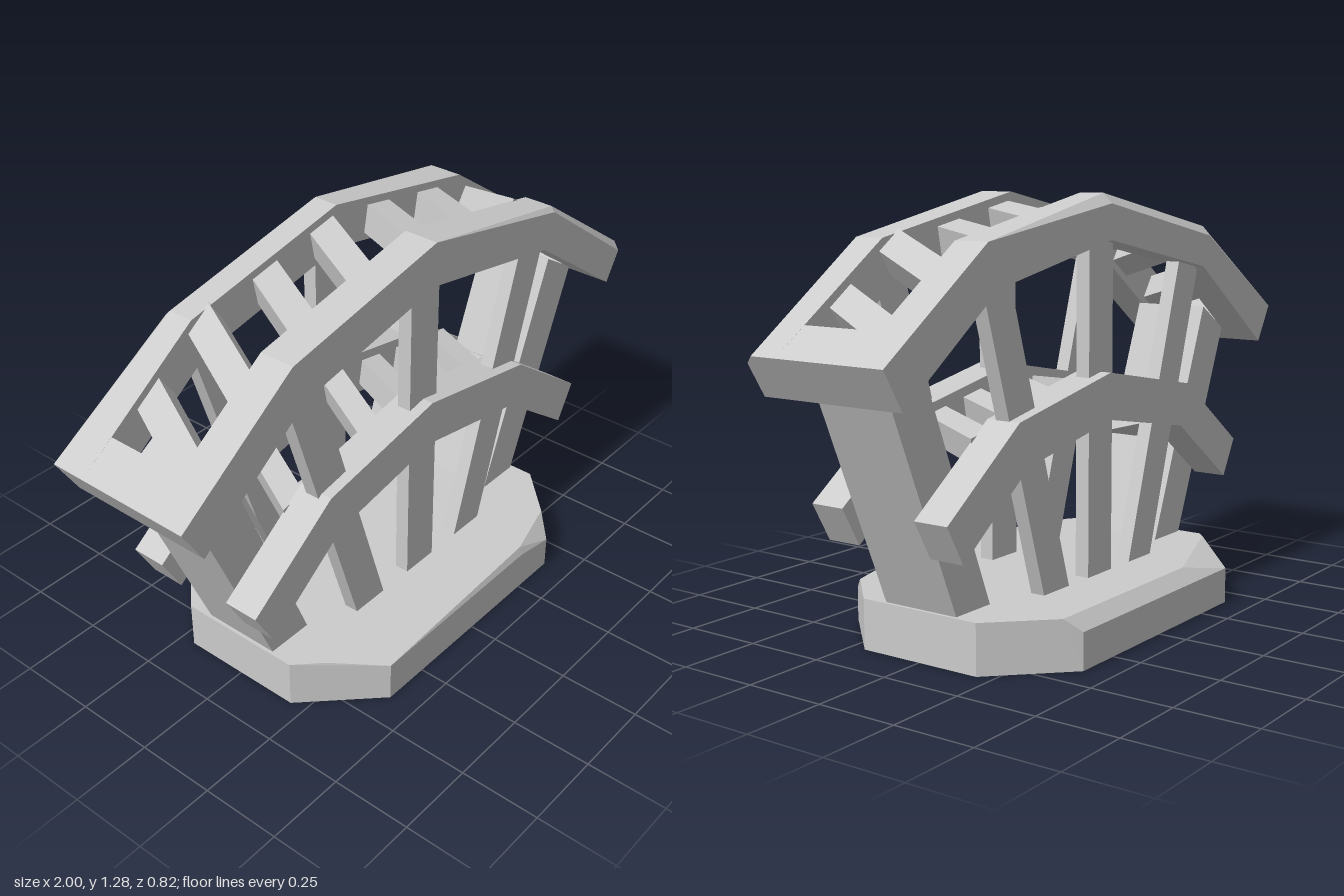
import * as THREE from 'three';
import { ConvexGeometry } from 'three/addons/geometries/ConvexGeometry.js';

const material = new THREE.MeshStandardMaterial({ color: 0xcccccc, flatShading: true });

function add(parent, name, geometry) {
  const mesh = new THREE.Mesh(geometry, material);
  mesh.name = name;
  parent.add(mesh);
  return mesh;
}

// Flat board: an outline in x/y, extruded from z0 to z1
function board(outline, z0, z1) {
  const shape = new THREE.Shape(outline.map(([x, y]) => new THREE.Vector2(x, y)));
  return new THREE.ExtrudeGeometry(shape, { depth: z1 - z0, bevelEnabled: false }).translate(0, 0, z0);
}

const hull = (points) => new ConvexGeometry(points.map((p) => new THREE.Vector3(...p)));
const flip = (outline, side) => outline.map(([x, y]) => [x * side, y]);

// Full arch from its +x half, listed from the crown outwards
const mirrorArch = (half) => [...half.slice(1).reverse().map(([x, y]) => [-x, y]), ...half];

// Angular rail; bevels trim the outer top edge at each bend
function rail(parent, name, outer, inner, side, bevels) {
  const group = new THREE.Group();
  group.name = name;
  const section = (i) => {
    const [x, y] = outer[i], [u, v] = inner[i], b = bevels[i];
    const points = [[x, y, side * 0.125], [u, v, side * 0.125], [u, v, side * 0.235], [x, y, side * (0.235 - b)]];
    if (b > 0) {
      const t = b / Math.hypot(x - u, y - v);
      points.push([x + (u - x) * t, y + (v - y) * t, side * 0.235]);
    }
    return points;
  };
  for (let i = 0; i < outer.length - 1; i++) {
    add(group, 'railSegment', hull([...section(i), ...section(i + 1)]));
  }
  parent.add(group);
}

// Skewed cross slats spread evenly along the arch
function slats(parent, name, outer, inner, pitch, width, height) {
  const group = new THREE.Group();
  group.name = name;
  const mid = outer.map(([x, y], i) => new THREE.Vector2((x + inner[i][0]) / 2, (y + inner[i][1]) / 2));
  const bend = mid[2].distanceTo(mid[3]);
  for (const side of [-1, 1]) {
    for (let k = 0; k < 4; k++) {
      const s = pitch * (k + 0.5);
      const [a, b, d] = s < bend ? [mid[2], mid[3], s] : [mid[3], mid[4], s - bend];
      const dir = b.clone().sub(a).normalize();
      const geometry = new THREE.BoxGeometry(width, height, 0.26);
      const pos = geometry.attributes.position;
      for (let i = 0; i < pos.count; i++) pos.setX(i, pos.getX(i) - pos.getZ(i) * 0.5);
      geometry.computeVertexNormals();
      const slat = add(group, 'slat', geometry);
      slat.position.set(side * (a.x + dir.x * d), a.y + dir.y * d, 0);
      slat.rotation.z = side * Math.atan2(dir.y, dir.x);
    }
  }
  parent.add(group);
}

export function createModel() {
  const model = new THREE.Group();
  model.name = 'archedRack';

  // Eight-sided base with roughly chipped top edges
  const rim = [[0.4, 0.41], [0.605, 0.2], [0.605, -0.2], [0.4, -0.41], [-0.4, -0.41], [-0.605, -0.2], [-0.605, 0.2], [-0.4, 0.41]];
  add(model, 'base', hull([
    ...rim.map(([x, z]) => [x, 0, z]),
    [0.605, 0.15, 0.2], [0.605, 0.15, -0.2], [-0.605, 0.15, -0.2], [-0.605, 0.15, 0.2],
    [-0.53, 0.15, 0.275], [-0.4, 0.125, 0.41], [0.26, 0.15, 0.4], [0.26, 0.125, 0.41], [0.46, 0.15, 0.345], [0.4, 0.1, 0.41],
    [0.44, 0.15, -0.37], [0.4, 0.11, -0.41], [-0.4, 0.11, -0.41], [-0.2, 0.15, -0.37], [-0.58, 0.15, -0.225],
  ]));

  // Upper and lower arches, front and back
  const upperOuter = mirrorArch([[0, 1.28], [0.585, 1.165], [1, 0.88]]);
  const upperInner = mirrorArch([[0, 1.145], [0.54, 1.04], [0.93, 0.765]]);
  const lowerOuter = mirrorArch([[0, 0.76], [0.45, 0.675], [0.765, 0.45]]);
  const lowerInner = mirrorArch([[0, 0.62], [0.41, 0.545], [0.7, 0.335]]);
  const plain = [0, 0, 0, 0, 0];
  rail(model, 'upperFrontRail', upperOuter, upperInner, 1, [0, 0, 0, 0.015, 0.025]);
  rail(model, 'upperBackRail', upperOuter, upperInner, -1, [0, 0.03, 0.03, 0, 0]);
  rail(model, 'lowerFrontRail', lowerOuter, lowerInner, 1, plain);
  rail(model, 'lowerBackRail', lowerOuter, lowerInner, -1, plain);

  slats(model, 'upperSlats', upperOuter, upperInner, 0.24, 0.1, 0.085);
  slats(model, 'lowerSlats', lowerOuter, lowerInner, 0.17, 0.085, 0.08);

  // Broad end supports and the blocks closing the upper rails
  const support = [[0.59, 0.14], [0.44, 0.14], [0.74, 0.89], [0.87, 0.81]];
  const block = [[1, 0.88], [0.89, 0.955], [0.82, 0.84], [0.93, 0.765]];
  for (const side of [-1, 1]) {
    add(model, 'endSupport', board(flip(support, side), -0.125, 0.125));
    add(model, 'endBlock', board(flip(block, side), -0.126, 0.126));
  }

  // Thin posts: one upright and two splayed on each face
  const upright = [[-0.062, 0.14], [0.062, 0.14], [0.062, 1.2], [-0.062, 1.2]];
  const splayed = [[0.175, 0.14], [0.3, 0.14], [0.598, 1.1], [0.473, 1.1]];
  for (const face of [-1, 1]) {
    const z0 = face > 0 ? 0.155 : -0.2;
    add(model, 'uprightPost', board(upright, z0, z0 + 0.045));
    const inset = face > 0 ? 0 : 0.015;
    for (const side of [-1, 1]) {
      const outline = splayed.map(([x, y]) => [x - inset, y]);
      add(model, 'splayedPost', board(flip(outline, side), z0, z0 + 0.045));
    }
  }
  return model;
}
